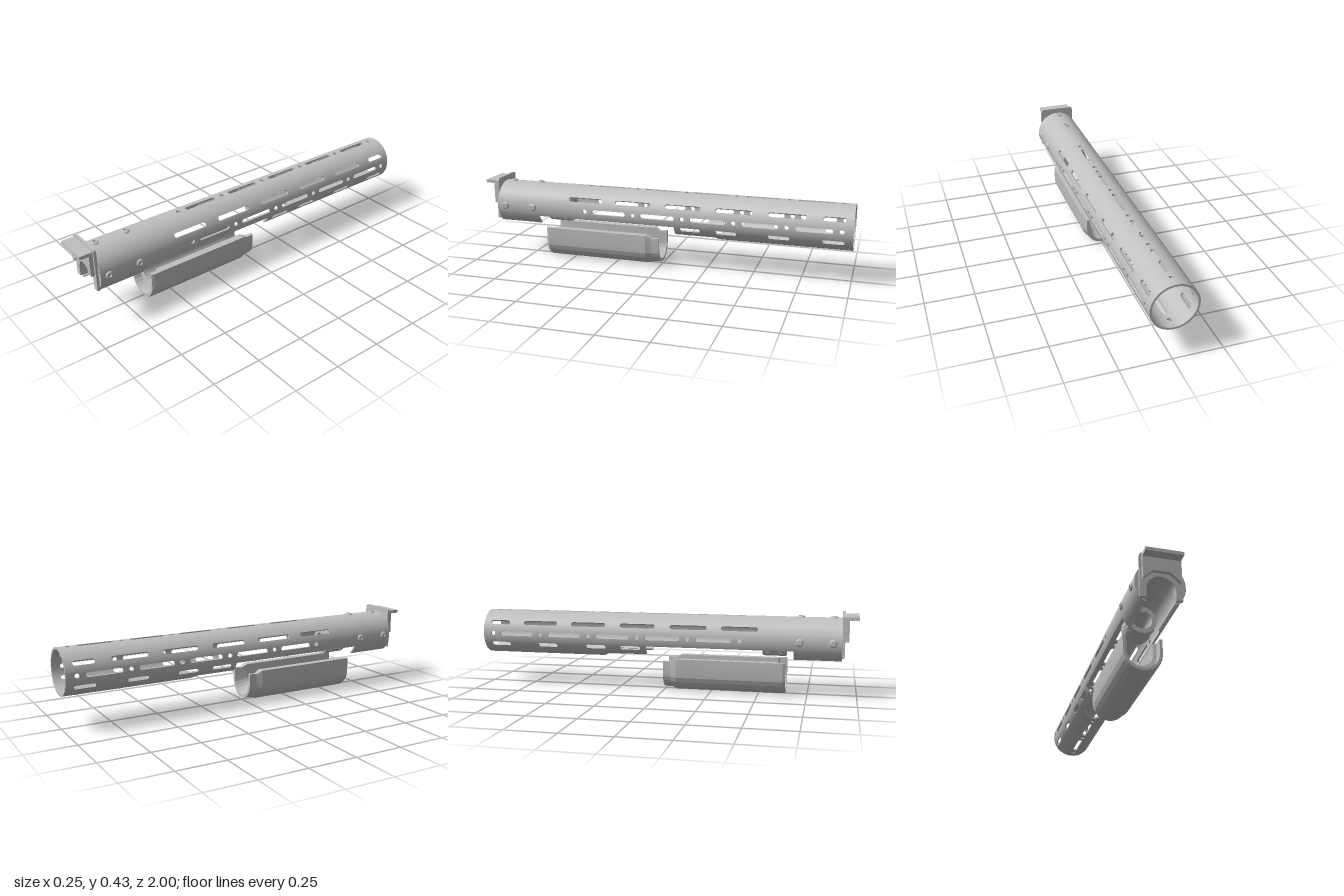
import * as THREE from 'three';
import { mergeGeometries, toCreasedNormals } from 'three/addons/utils/BufferGeometryUtils.js';

const metal = new THREE.MeshStandardMaterial({ color: 0xc0c0c0 });
metal.name = 'grey metal';

const TUBE_Y = 0.285, R = 0.118, WALL = 0.01;
const rad = THREE.MathUtils.degToRad;

function add(parent, name, geometry) {
  const mesh = new THREE.Mesh(geometry, metal);
  mesh.name = name;
  parent.add(mesh);
  return mesh;
}

// Rounded slot outline in unrolled tube space; equal ends give a round hole
function slotPath(u, z0, z1, r = 0.012) {
  const p = new THREE.Path();
  p.absarc(u, z1 - r, r, 0, Math.PI, false);
  p.absarc(u, z0 + r, r, Math.PI, Math.PI * 2, false);
  p.closePath();
  return p;
}

// Vent rows, keyed by angle in degrees away from the top of the tube
const mainRow = [];
for (let i = 0; i < 6; i++) {
  const z = 0.405 - i * 0.27;
  mainRow.push([z - 0.012, z + 0.012]);
  if (i < 5) mainRow.push([z - 0.228, z - 0.042]);
}
const rows = {
  0: mainRow,
  60: [[0.31, 0.5], [0.04, 0.235], [-0.23, -0.04], [-0.5, -0.31], [-0.77, -0.58], [-0.96, -0.85]],
  90: mainRow,
  120: [[-0.23, -0.12], [-0.42, -0.31], [-0.69, -0.58], [-0.96, -0.85]],
  180: mainRow.filter(s => s[1] < -0.37),
};

// Front limit of the underside, which slopes down to the full tube
const slopeZ = a => -0.3 - (Math.min(a, 360 - a) - 143.5) / 36.5 * 0.06;

// One strip of the tube wall: flat outline, extruded, then rolled round the axis
function strip(outline, slots, row) {
  const shape = new THREE.Shape(outline.map(([a, z]) => new THREE.Vector2(rad(a) * R, z)));
  for (const [z0, z1] of slots) shape.holes.push(slotPath(rad(row) * R, z0, z1));
  const g = new THREE.ExtrudeGeometry(shape, { depth: WALL, bevelEnabled: false, curveSegments: 8 });
  const p = g.attributes.position;
  const lids = g.groups[0].count;
  const outer = [];
  for (let i = 0; i < p.count; i++) {
    const t = p.getZ(i), a = p.getX(i) / R, r = R - WALL + t;
    outer.push(t > WALL / 2);
    p.setXYZ(i, -r * Math.sin(a), TUBE_Y + r * Math.cos(a), p.getY(i));
  }
  g.computeVertexNormals();
  for (let i = 0; i < lids; i++) {
    const s = (outer[i] ? 1 : -1) / Math.hypot(p.getX(i), p.getY(i) - TUBE_Y);
    g.attributes.normal.setXYZ(i, p.getX(i) * s, (p.getY(i) - TUBE_Y) * s, 0);
  }
  g.clearGroups();
  return g;
}

function tubeGeometry() {
  const parts = [], half = 6.5, gap = 17 / 3;
  for (let c = 0; c < 360; c += 30) {
    for (let k = 0; k < 4; k++) {
      const a0 = k ? c + half + (k - 1) * gap : c - half;
      const a1 = c + half + k * gap;
      const mid = (a0 + a1) / 2, a = Math.min(mid, 360 - mid);
      const rect = (z0, z1) => [[a0, z0], [a1, z0], [a1, z1], [a0, z1]];
      const slots = k ? [] : rows[Math.min(c, 360 - c)] || [];
      if (a > 142) {
        const o = [[a0, -1], [a1, -1], [a1, slopeZ(a1)]];
        if (mid === 180) o.push([180, slopeZ(180)]);
        o.push([a0, slopeZ(a0)]);
        parts.push(strip(o, slots, c));
      } else if (a > 112) {
        parts.push(strip(rect(-1, -0.09), slots, c));
        parts.push(strip(rect(0.68, 0.92), [], c));
      } else parts.push(strip(rect(-1, 0.92), slots, c));
    }
  }
  return mergeGeometries(parts);
}

// U-shaped lower shell lofted along z; stations: z, outer radius, inner radius, inner centre y, top
function shellGeometry() {
  const stations = [
    [0.64, 0.095, 0.082, 0.1, 0.173], [0.628, 0.1, 0.08, 0.1, 0.173], [0.6, 0.1, 0.079, 0.1, 0.173],
    [0.595, 0.1, 0.062, 0.111, 0.173], [0.07, 0.1, 0.062, 0.111, 0.173],
    [0.04, 0.09, 0.068, 0.105, 0.157], [0, 0.088, 0.072, 0.1, 0.16],
  ];
  const SEG = 12, K = SEG + 3, N = K * 2, pos = [], idx = [];
  const arc = (r, cy, top) => {
    const pts = [[r, top]];
    for (let i = 0; i <= SEG; i++) {
      const a = -Math.PI * i / SEG;
      pts.push([r * Math.cos(a), cy + r * Math.sin(a)]);
    }
    pts.push([-r, top]);
    return pts;
  };
  for (const [z, ro, ri, cy, top] of stations)
    for (const [x, y] of [...arc(ro, 0.1, top), ...arc(ri, cy, top).reverse()]) pos.push(x, y, z);
  for (let s = 0; s < stations.length - 1; s++)
    for (let i = 0; i < N; i++) {
      const a = s * N + i, b = s * N + (i + 1) % N;
      idx.push(a, b, b + N, a, b + N, a + N);
    }
  const e = (stations.length - 1) * N;
  for (let i = 0; i < K - 1; i++) {
    const j = N - 1 - i;
    idx.push(i, j, i + 1, i + 1, j, j - 1);
    idx.push(e + i, e + i + 1, e + j, e + i + 1, e + j - 1, e + j);
  }
  const g = new THREE.BufferGeometry();
  g.setAttribute('position', new THREE.Float32BufferAttribute(pos, 3));
  g.setIndex(idx);
  return toCreasedNormals(g, 0.2);
}

function extrude(shape, depth, z) {
  return new THREE.ExtrudeGeometry(shape, { depth, bevelEnabled: false, curveSegments: 24 }).translate(0, 0, z);
}

// Closes an outline with the arched opening that runs between its two legs
function closeWithArch(shape) {
  shape.lineTo(-0.068, 0.207);
  shape.lineTo(-0.068, 0.25);
  shape.absarc(0, 0.25, 0.068, Math.PI, 0, true);
  shape.closePath();
  return shape;
}

// Button-head screw with a socket, pointing along +y
function screwGeometry(r, h) {
  const pts = [[r, 0], [r, h * 0.4], [r * 0.85, h * 0.8], [r * 0.6, h], [r * 0.45, h], [r * 0.45, h * 0.4], [0, h * 0.4]];
  return toCreasedNormals(new THREE.LatheGeometry(pts.map(p => new THREE.Vector2(...p)), 18), 0.6);
}

export function createModel() {
  const model = new THREE.Group();
  model.name = 'ventedHandguard';
  add(model, 'ventedTube', tubeGeometry());
  add(model, 'lowerShell', shellGeometry());

  // Front plate with rounded top corners and an arched opening
  const plate = new THREE.Shape();
  plate.moveTo(0.068, 0.207);
  plate.lineTo(0.098, 0.207);
  plate.lineTo(0.098, 0.412);
  plate.quadraticCurveTo(0.098, 0.43, 0.08, 0.43);
  plate.lineTo(-0.08, 0.43);
  plate.quadraticCurveTo(-0.098, 0.43, -0.098, 0.412);
  plate.lineTo(-0.098, 0.207);
  add(model, 'frontPlate', extrude(closeWithArch(plate), 0.014, 0.919));

  // Round cap that closes the front of the tube behind the plate
  const cap = new THREE.Shape();
  cap.moveTo(0.068, 0.207);
  cap.absarc(0, TUBE_Y, 0.11, -0.788, Math.PI + 0.788, false);
  add(model, 'frontCap', extrude(closeWithArch(cap), 0.025, 0.8945));

  // Angle bracket: upright web with a chamfered cut and a forward flange
  const web = new THREE.Shape([[-0.088, 0.29], [-0.04, 0.334], [0.04, 0.334], [0.088, 0.29], [0.088, 0.417], [-0.088, 0.417]]
    .map(p => new THREE.Vector2(...p)));
  add(model, 'bracketWeb', extrude(web, 0.02, 0.933));
  add(model, 'bracketFlange', new THREE.BoxGeometry(0.176, 0.017, 0.05).translate(0, 0.4085, 0.975));

  // Clamp ring inside the tube, with a key and side screws
  const ring = new THREE.Shape();
  ring.absarc(0, 0.267, 0.07, 0, Math.PI * 2, false);
  const bore = new THREE.Path();
  bore.absarc(0, 0.267, 0.048, 0, Math.PI * 2, true);
  ring.holes.push(bore);
  add(model, 'clampRing', toCreasedNormals(extrude(ring, 0.12, 0.52), 0.5));
  add(model, 'clampKey', new THREE.BoxGeometry(0.024, 0.012, 0.12).translate(0, 0.313, 0.58));
  for (const side of [-1, 1]) for (const z of [0.545, 0.612]) {
    const screw = add(model, 'clampScrew', screwGeometry(0.015, 0.01));
    screw.position.set(side * 0.051, 0.229, z);
    screw.rotation.z = -side * 2.2;
  }

  // Mounting screws on the top and both sides of the tube
  for (const z of [0.875, 0.71]) for (const a of [-Math.PI / 2, 0, Math.PI / 2]) {
    const screw = add(model, 'mountingScrew', screwGeometry(0.02, 0.012));
    screw.position.set(Math.sin(a) * 0.114, TUBE_Y + Math.cos(a) * 0.114, z);
    screw.rotation.z = -a;
  }
  return model;
}
